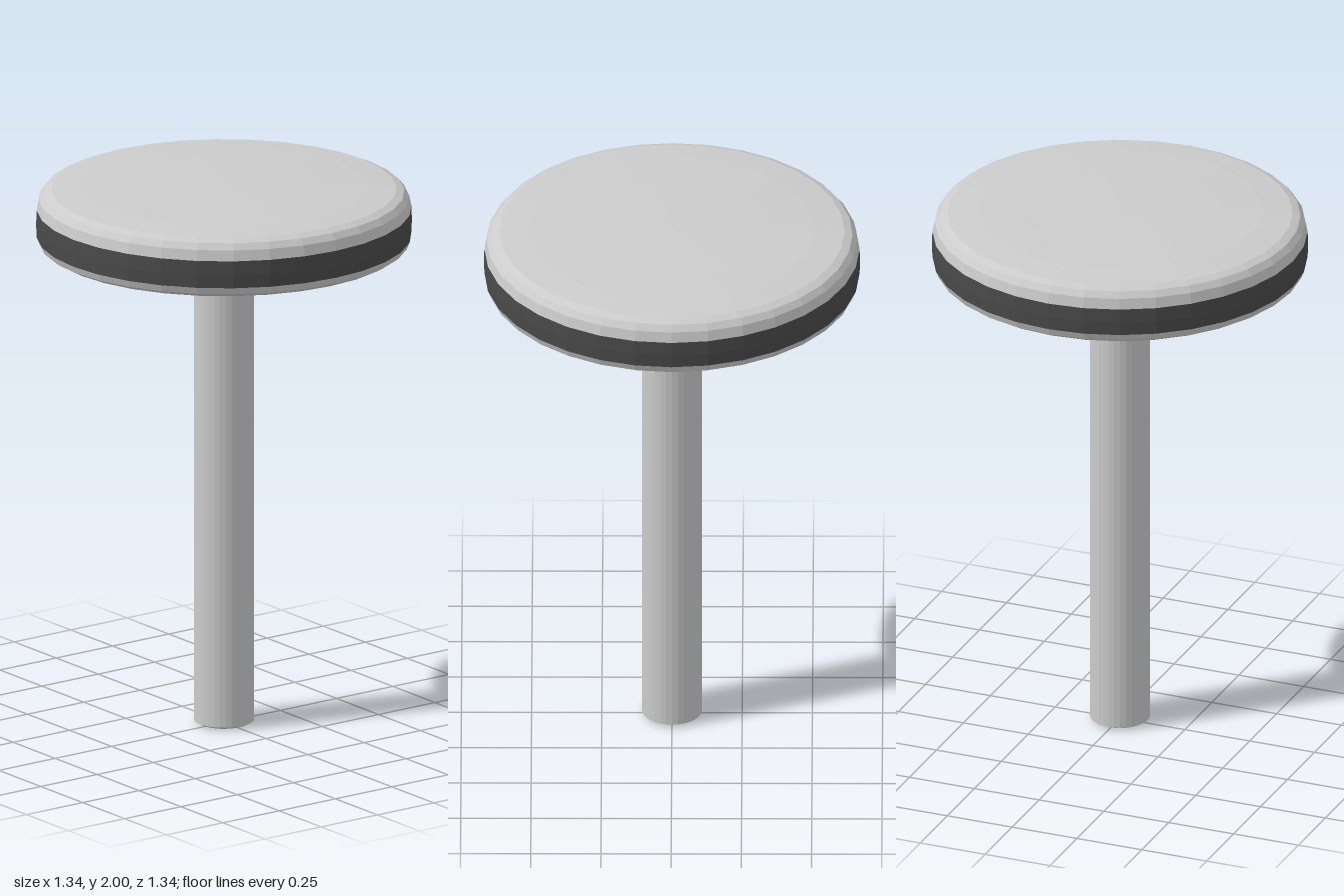
import * as THREE from 'three';

const SIDES = 32;

// Turns a bottom-to-top [radius, height] profile into a faceted round part
function turned(name, profile, color = 0xcccccc) {
  const points = profile.map(([r, y]) => new THREE.Vector2(r, y));
  const material = new THREE.MeshStandardMaterial({ color, flatShading: true });
  const mesh = new THREE.Mesh(new THREE.LatheGeometry(points, SIDES), material);
  mesh.name = name;
  return mesh;
}

export function createModel() {
  const stool = new THREE.Group();
  stool.name = 'stool';

  // Straight post with a slightly bevelled foot
  stool.add(turned('post', [
    [0, 0], [0.09, 0.003], [0.107, 0.012], [0.107, 1.72],
  ]));

  // Shallow dished plate flaring out from the post
  stool.add(turned('seatUnderside', [
    [0.107, 1.695], [0.122, 1.703], [0.14, 1.722], [0.17, 1.731],
    [0.35, 1.746], [0.54, 1.76], [0.6, 1.768],
  ]));

  // Thin rounded trim under the band
  stool.add(turned('lowerTrim', [
    [0.6, 1.768], [0.635, 1.773], [0.658, 1.787], [0.668, 1.812],
  ]));

  // Dark band around the rim
  stool.add(turned('rimBand', [
    [0.668, 1.812], [0.67, 1.86], [0.668, 1.912],
  ], 0x4a4a4a));

  // Softly crowned cushion
  stool.add(turned('cushion', [
    [0.668, 1.912], [0.66, 1.95], [0.643, 1.972], [0.615, 1.984],
    [0.51, 1.993], [0.35, 1.998], [0, 2],
  ]));

  return stool;
}
